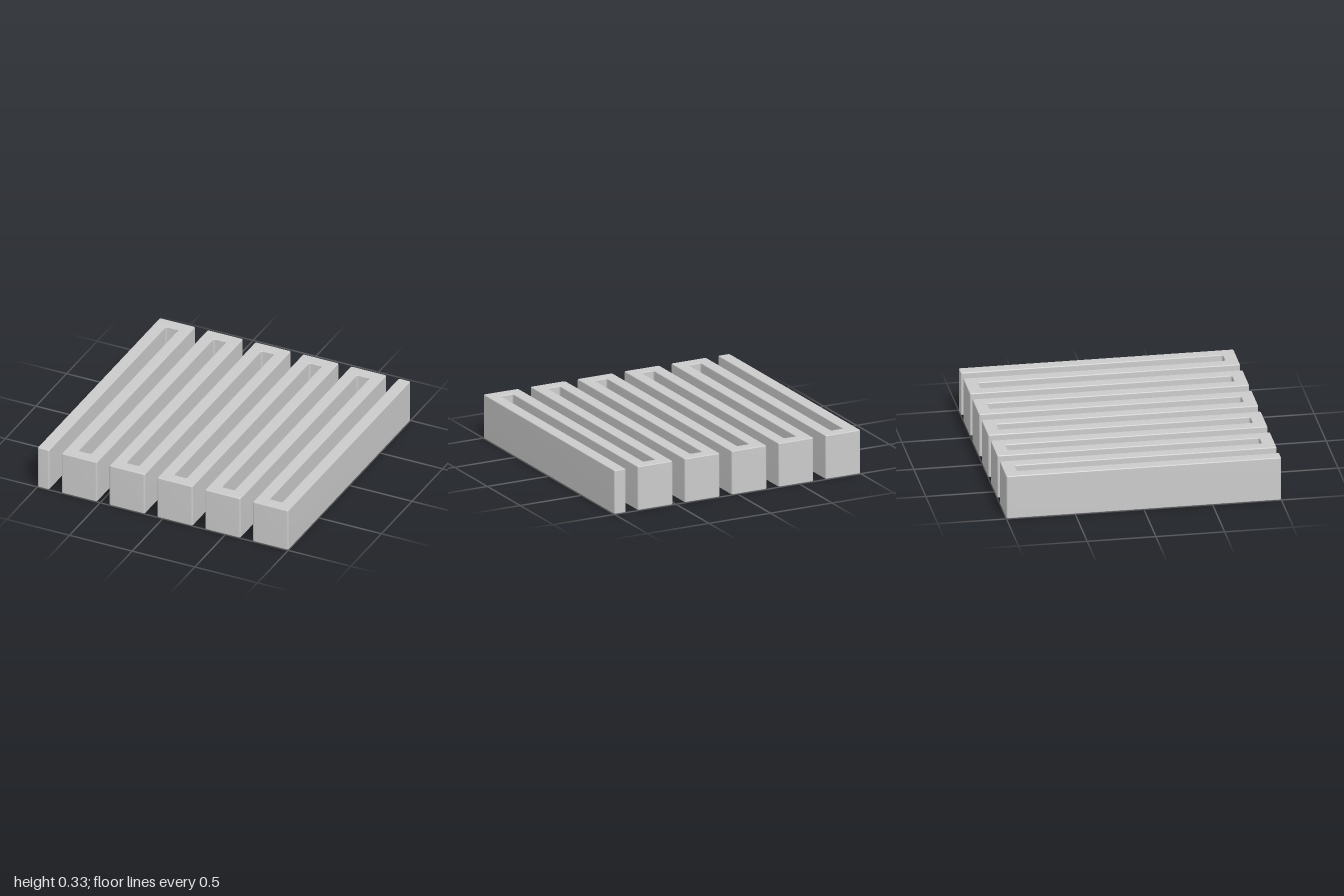
import * as THREE from 'three';
import { mergeVertices } from 'three/addons/utils/BufferGeometryUtils.js';

const BARS = 11;        // parallel runs of the serpentine
const WIDTH = 0.094;    // thickness of the strip
const HEIGHT = 0.33;
const RADIUS = 0.014;   // rounding of the vertical edges
const BEVEL = 0.007;    // bevel of the top and bottom edges

// Outline of the serpentine strip: up one side of the path, back along the other
function serpentineOutline() {
  const pitch = (2 - WIDTH) / (BARS - 1);
  const h = WIDTH / 2;
  const leftSide = [], rightSide = [];
  for (let i = 0; i < BARS; i++) {
    const x = -1 + h + i * pitch;
    const dir = i % 2 ? -1 : 1; // even runs go to the back, odd runs return
    const left = [[x - dir * h, i === 0 ? -1 : -1 + WIDTH], [x - dir * h, 1]];
    const right = [[x + dir * h, -1], [x + dir * h, i === BARS - 1 ? 1 : 1 - WIDTH]];
    if (dir < 0) { left.reverse(); right.reverse(); }
    leftSide.push(...left);
    rightSide.push(...right);
  }
  return [...leftSide, ...rightSide.reverse()].map(([x, y]) => new THREE.Vector2(x, y));
}

// Closed shape with every corner rounded
function roundedShape(points, radius) {
  const shape = new THREE.Shape();
  const n = points.length;
  points.forEach((p, i) => {
    const toward = (q) => q.clone().sub(p).setLength(radius).add(p);
    const a = toward(points[(i + n - 1) % n]);
    const b = toward(points[(i + 1) % n]);
    if (i === 0) shape.moveTo(a.x, a.y);
    else shape.lineTo(a.x, a.y);
    shape.quadraticCurveTo(p.x, p.y, b.x, b.y);
  });
  shape.closePath();
  return shape;
}

export function createModel() {
  const group = new THREE.Group();
  group.name = 'serpentineBlock';

  let geometry = new THREE.ExtrudeGeometry(roundedShape(serpentineOutline(), RADIUS), {
    depth: HEIGHT - 2 * BEVEL,
    curveSegments: 3,
    bevelEnabled: true,
    bevelThickness: BEVEL,
    bevelSize: BEVEL,
    bevelOffset: -BEVEL,
    bevelSegments: 2,
  });
  geometry.translate(0, 0, BEVEL);
  geometry.rotateX(-Math.PI / 2);

  // Smooth, area-weighted normals across the small bevels
  geometry.deleteAttribute('uv');
  geometry.deleteAttribute('normal');
  geometry = mergeVertices(geometry, 1e-4);
  geometry.computeVertexNormals();

  const strip = new THREE.Mesh(geometry, new THREE.MeshStandardMaterial({ color: 0xcccccc }));
  strip.name = 'serpentineStrip';
  group.add(strip);
  return group;
}
